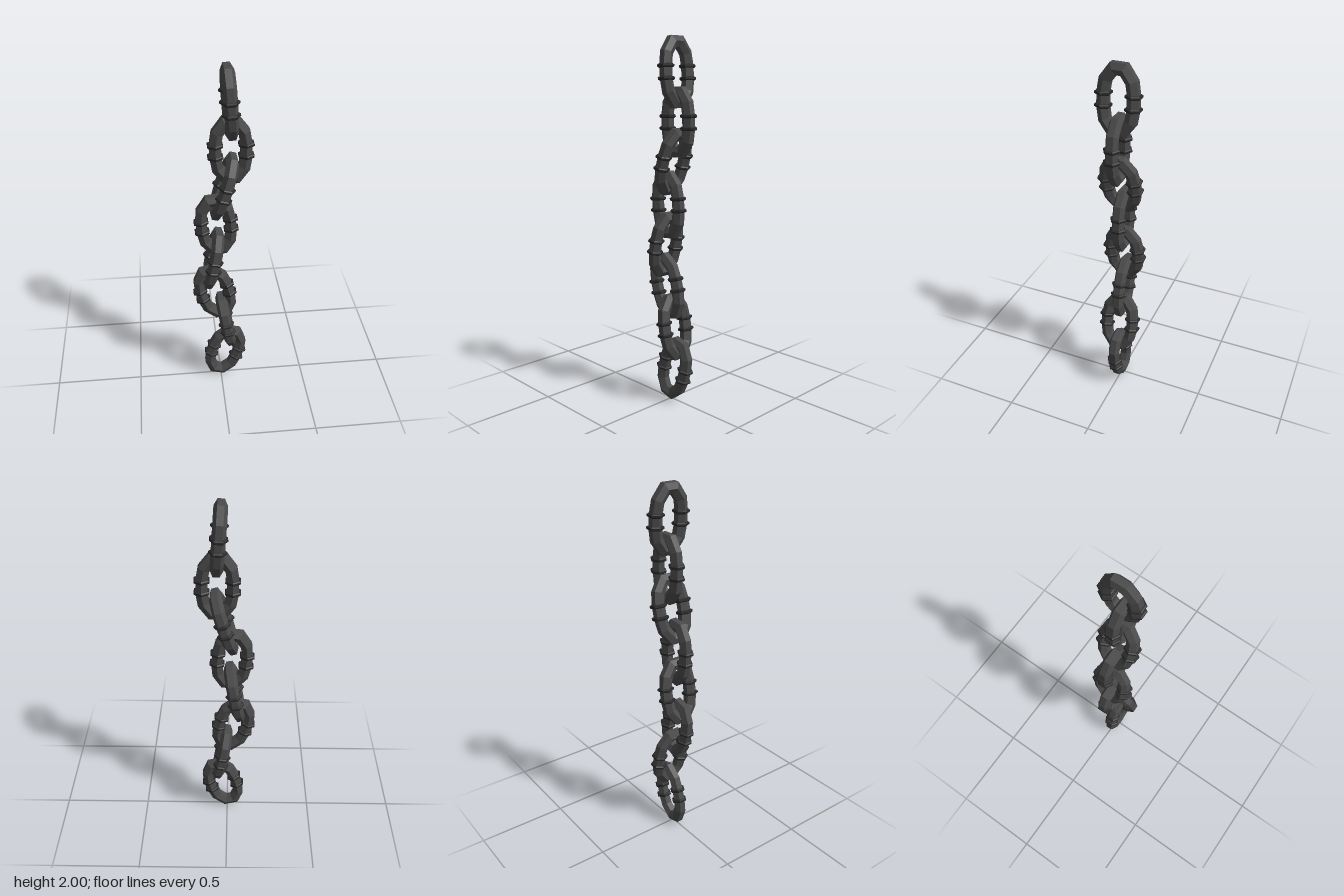
import * as THREE from 'three';

const steel = new THREE.MeshStandardMaterial({ color: 0x4a4a4a, flatShading: true });
const darkSteel = new THREE.MeshStandardMaterial({ color: 0x2a2a2a, flatShading: true });
const SIDES = 6;
const BAR = 0.034; // bar radius
const MID_X = 0.078; // distance of the straight bars from the link centre

// Closed hexagonal bar swept round an elongated loop with mitred corners
function linkGeometry() {
  const quarter = [[MID_X, 0.036], [0.068, 0.098], [0.027, 0.154]];
  const half = [...quarter, ...quarter.slice().reverse().map(([x, y]) => [-x, y])];
  const path = [...half, ...half.map(([x, y]) => [-x, -y])].map(([x, y]) => new THREE.Vector2(x, y));
  const n = path.length;
  const edgeNormal = (i) => {
    const d = path[(i + 1) % n].clone().sub(path[i % n]).normalize();
    return new THREE.Vector2(d.y, -d.x);
  };
  const positions = [];
  const index = [];
  for (let i = 0; i < n; i++) {
    const before = edgeNormal(i + n - 1);
    const out = before.clone().add(edgeNormal(i)).normalize();
    const mitre = 1 / out.dot(before);
    for (let k = 0; k < SIDES; k++) {
      const a = (k / SIDES) * Math.PI * 2;
      const r = BAR * Math.sin(a) * mitre;
      positions.push(path[i].x + out.x * r, path[i].y + out.y * r, BAR * Math.cos(a));
      const i2 = (i + 1) % n, k2 = (k + 1) % SIDES;
      const p = i * SIDES + k, q = i2 * SIDES + k, s = i2 * SIDES + k2, t = i * SIDES + k2;
      index.push(p, t, s, p, s, q);
    }
  }
  const geometry = new THREE.BufferGeometry();
  geometry.setAttribute('position', new THREE.Float32BufferAttribute(positions, 3));
  geometry.setIndex(index);
  geometry.computeVertexNormals();
  return geometry;
}

// Bevelled hexagonal collar
function bandGeometry() {
  const profile = [[0.03, -0.01], [0.038, -0.01], [0.045, -0.005], [0.045, 0.005], [0.038, 0.01], [0.03, 0.01]];
  return new THREE.LatheGeometry(profile.map(([x, y]) => new THREE.Vector2(x, y)), SIDES);
}

export function createModel() {
  const chain = new THREE.Group();
  chain.name = 'chain';
  const loop = linkGeometry();
  const band = bandGeometry();

  // Links from top to bottom: x, y, tilt in degrees; every other one is turned edge-on
  const links = [
    [0.042, 1.816, 4], [0.05, 1.56, 1], [0.016, 1.35, -16], [-0.025, 1.116, 5],
    [-0.042, 0.892, -10], [-0.034, 0.657, 15], [0.03, 0.437, 10], [0.026, 0.188, -16],
  ];
  links.forEach(([x, y, tilt], i) => {
    const link = new THREE.Group();
    link.name = `link${i + 1}`;
    link.position.set(x, y, 0);
    link.rotation.set(0, i % 2 ? 0 : Math.PI / 2, THREE.MathUtils.degToRad(tilt), 'ZYX');

    const bar = new THREE.Mesh(loop, steel);
    bar.name = 'linkLoop';
    link.add(bar);

    // Two collars on each straight bar
    for (const sx of [-1, 1]) {
      for (const sy of [-1, 1]) {
        const collar = new THREE.Mesh(band, darkSteel);
        collar.name = 'collar';
        collar.position.set(sx * MID_X, sy * 0.032, 0);
        link.add(collar);
      }
    }
    chain.add(link);
  });
  return chain;
}
